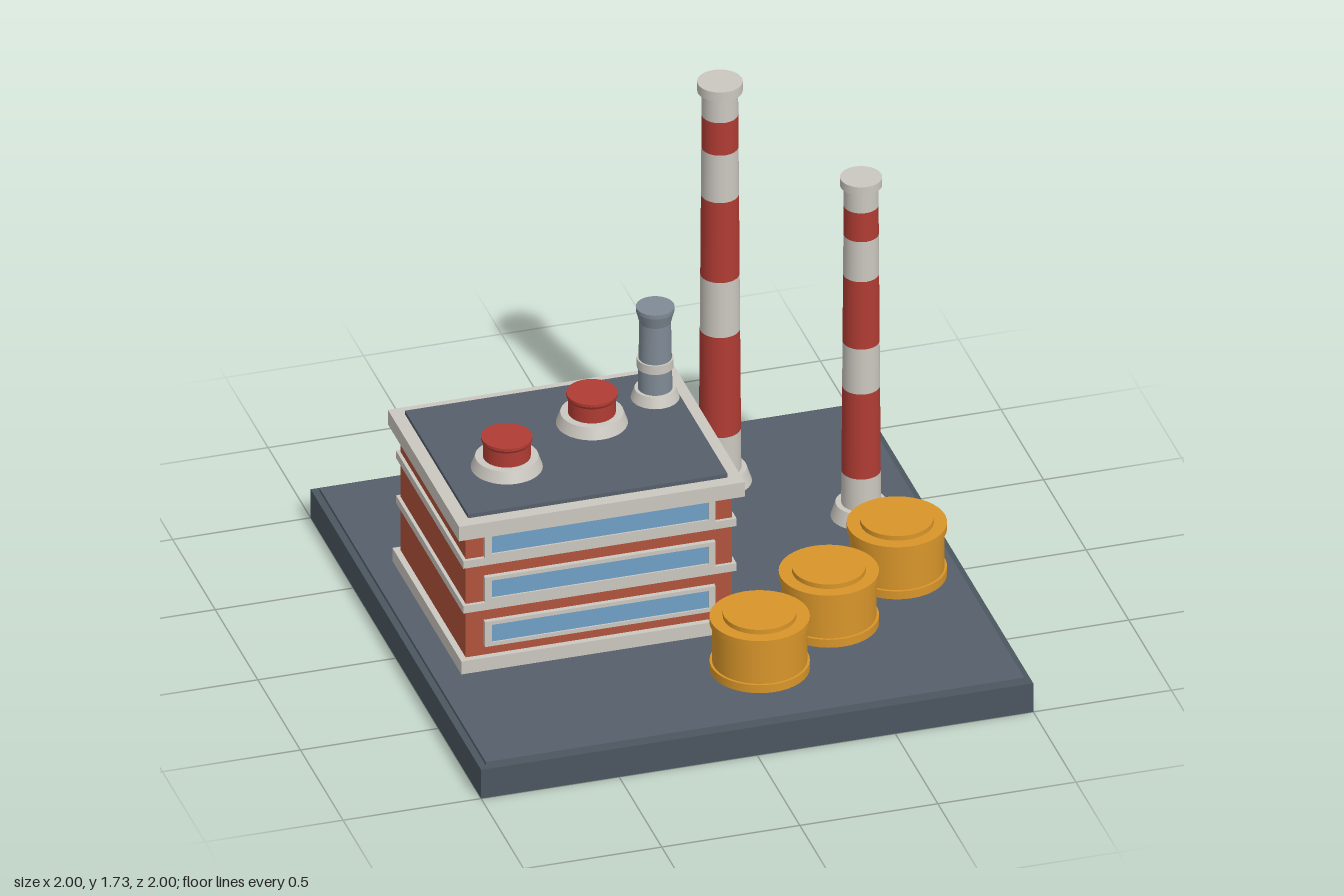
import * as THREE from 'three';

const COLORS = {
  slab: 0x4b5660, deck: 0x56606b, brick: 0xb0533c, trim: 0xcbc7c0,
  glass: 0x6f9fc6, red: 0xb03c33, yellow: 0xd8952a, steel: 0x7f8a95,
};
const mats = {};
for (const key in COLORS) mats[key] = new THREE.MeshStandardMaterial({ color: COLORS[key] });

const GROUND = 0.128;
const ROOF = 0.745;

function add(parent, name, geometry, mat, x = 0, y = 0, z = 0) {
  const mesh = new THREE.Mesh(geometry, mats[mat]);
  mesh.name = name;
  mesh.position.set(x, y, z);
  parent.add(mesh);
  return mesh;
}

// Box centred on x, z and spanning y0..y1
function slab(parent, name, mat, w, d, y0, y1, x = 0, z = 0) {
  return add(parent, name, new THREE.BoxGeometry(w, y1 - y0, d), mat, x, (y0 + y1) / 2, z);
}

// Round section spanning y0..y1, tapering from r0 to r1
function drum(parent, name, mat, r0, r1, y0, y1) {
  return add(parent, name, new THREE.CylinderGeometry(r1, r0, y1 - y0, 40), mat, 0, (y0 + y1) / 2, 0);
}

function groupAt(parent, name, x, z) {
  const g = new THREE.Group();
  g.name = name;
  g.position.set(x, 0, z);
  parent.add(g);
  return g;
}

// Striped chimney: levels are the heights where the colour changes
function chimney(parent, name, x, z, levels, rBottom, rTop, rBase, rCap, top) {
  const g = groupAt(parent, name, x, z);
  drum(g, 'chimneyBase', 'trim', rBase, rBase * 0.84, GROUND, 0.182);
  const y0 = levels[0], y1 = levels[levels.length - 1];
  const radius = (y) => THREE.MathUtils.mapLinear(y, y0, y1, rBottom, rTop);
  for (let i = 0; i < levels.length - 1; i++) {
    const a = levels[i], b = levels[i + 1];
    drum(g, 'chimneyStripe', i % 2 ? 'red' : 'trim', radius(a), radius(b), a, b);
  }
  drum(g, 'chimneyCap', 'trim', rCap, rCap, y1, top);
}

function tank(parent, x, z) {
  const g = groupAt(parent, 'storageTank', x, z);
  drum(g, 'tankFoot', 'yellow', 0.174, 0.174, GROUND, 0.16);
  drum(g, 'tankBody', 'yellow', 0.165, 0.165, 0.16, 0.312);
  drum(g, 'tankRim', 'yellow', 0.174, 0.174, 0.312, 0.337);
  drum(g, 'tankLid', 'yellow', 0.128, 0.128, 0.337, 0.355);
}

function roofVent(parent, x, z) {
  const g = groupAt(parent, 'roofVent', x, z);
  drum(g, 'ventBase', 'trim', 0.125, 0.11, ROOF, 0.788);
  drum(g, 'ventBody', 'red', 0.083, 0.083, 0.788, 0.845);
  drum(g, 'ventLip', 'red', 0.083, 0.089, 0.845, 0.855);
  drum(g, 'ventCap', 'red', 0.089, 0.089, 0.855, 0.866);
}

function roofStack(parent, x, z) {
  const g = groupAt(parent, 'roofStack', x, z);
  drum(g, 'stackBase', 'trim', 0.085, 0.072, ROOF, 0.784);
  drum(g, 'stackShaft', 'steel', 0.06, 0.055, 0.784, 1.05);
  drum(g, 'stackBand', 'trim', 0.064, 0.064, 0.87, 0.905);
  drum(g, 'stackFlare', 'steel', 0.055, 0.067, 1.05, 1.095);
  drum(g, 'stackRim', 'steel', 0.067, 0.067, 1.095, 1.11);
}

// Window facing +z: four frame bars around a slightly recessed pane
function windowUnit(parent, width, height, bar) {
  const g = new THREE.Group();
  g.name = 'window';
  const shape = new THREE.Shape();
  const rect = (path, w, h) => path.moveTo(-w, -h).lineTo(w, -h).lineTo(w, h).lineTo(-w, h).closePath();
  rect(shape, width / 2, height / 2);
  const hole = new THREE.Path();
  rect(hole, width / 2 - bar, height / 2 - 0.015);
  shape.holes.push(hole);
  add(g, 'windowFrame', new THREE.ExtrudeGeometry(shape, { depth: 0.018, bevelEnabled: false }), 'trim');
  add(g, 'windowPane', new THREE.BoxGeometry(width - 2 * bar, height - 0.03, 0.012), 'glass', 0, 0, 0.006);
  parent.add(g);
  return g;
}

function factory(parent) {
  const g = groupAt(parent, 'factoryBuilding', -0.375, -0.025);
  const W = 0.965, D = 0.765;
  slab(g, 'plinth', 'trim', W + 0.045, D + 0.045, GROUND, 0.18);
  slab(g, 'brickWalls', 'brick', W, D, 0.18, 0.672);
  slab(g, 'floorBand', 'trim', W + 0.025, D + 0.025, 0.365, 0.395);
  slab(g, 'floorBand', 'trim', W + 0.025, D + 0.025, 0.545, 0.575);
  slab(g, 'cornice', 'trim', 1.035, 0.835, 0.672, 0.73);
  slab(g, 'roofDeck', 'deck', 0.94, 0.74, 0.73, ROOF);
  // One long window per floor in front, three small ones on the right
  for (const y of [0.27, 0.448, 0.625]) {
    windowUnit(g, 0.835, 0.1, 0.025).position.set(0, y, D / 2);
    for (const z of [-0.235, 0, 0.235]) {
      const side = windowUnit(g, 0.16, 0.1, 0.018);
      side.position.set(W / 2, y, z);
      side.rotation.y = Math.PI / 2;
    }
  }
}

export function createModel() {
  const model = new THREE.Group();
  model.name = 'factorySite';

  // Ground
  slab(model, 'groundSlab', 'slab', 2, 2, 0, 0.115);
  slab(model, 'groundDeck', 'deck', 1.95, 1.95, 0.115, GROUND);

  // Building and roof equipment
  factory(model);
  roofVent(model, -0.62, 0.07);
  roofVent(model, -0.25, -0.13);
  roofStack(model, 0.01, -0.23);

  // Chimneys
  chimney(model, 'tallChimney', 0.365, -0.62,
    [0.182, 0.34, 0.74, 0.96, 1.28, 1.47, 1.6, 1.695], 0.074, 0.063, 0.111, 0.079, 1.732);
  chimney(model, 'shortChimney', 0.762, -0.25,
    [0.182, 0.31, 0.65, 0.83, 1.1, 1.26, 1.375, 1.455], 0.069, 0.06, 0.106, 0.073, 1.487);

  // Storage tanks
  for (const [x, z] of [[0.12, 0.64], [0.44, 0.415], [0.762, 0.17]]) tank(model, x, z);

  return model;
}
